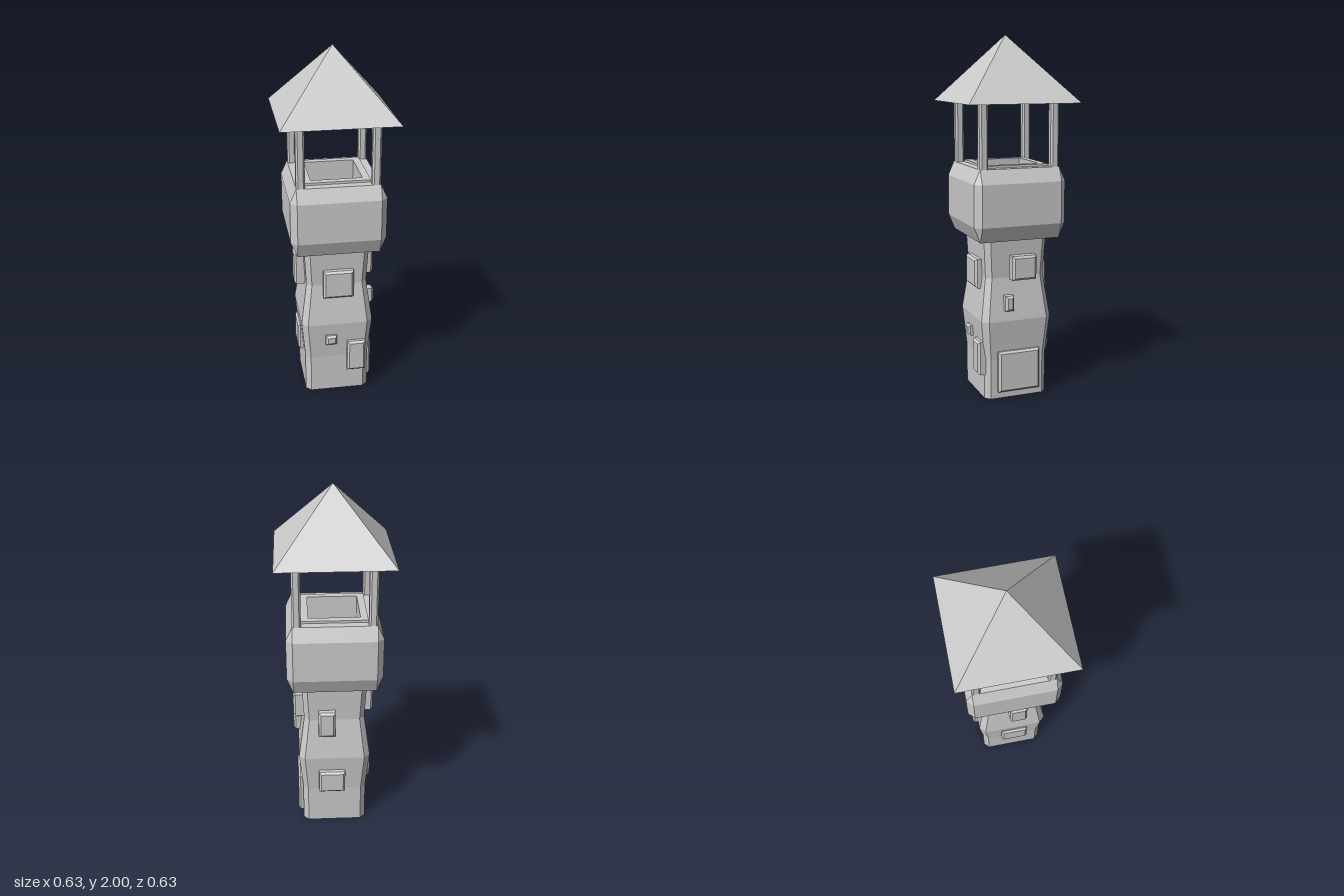
import * as THREE from 'three';

const material = new THREE.MeshStandardMaterial({ color: 0xcccccc, flatShading: true });

// Square ring with cut corners: faces at distance h, each face spanning -e..e
const octagon = (h, e, y) =>
  [[h, -e], [h, e], [e, h], [-e, h], [-h, e], [-h, -e], [-e, -h], [e, -h]]
    .map(([x, z]) => new THREE.Vector3(x, y, z));

const rectangle = (w, d, y) =>
  [[w, -d], [w, d], [-w, d], [-w, -d]].map(([x, z]) => new THREE.Vector3(x, y, z));

// Skins a stack of rings and caps both ends
function loft(rings) {
  const points = [];
  const tri = (a, b, c) => {
    const area = b.clone().sub(a).cross(c.clone().sub(a)).length();
    if (area > 1e-9) points.push(a, b, c);
  };
  const n = rings[0].length;
  for (let r = 0; r < rings.length - 1; r++) {
    for (let i = 0; i < n; i++) {
      const j = (i + 1) % n, lo = rings[r], hi = rings[r + 1];
      tri(lo[i], hi[i], lo[j]);
      tri(lo[j], hi[i], hi[j]);
    }
  }
  const first = rings[0], last = rings[rings.length - 1];
  for (let i = 1; i < n - 1; i++) {
    tri(first[0], first[i], first[i + 1]);
    tri(last[0], last[i + 1], last[i]);
  }
  const geometry = new THREE.BufferGeometry().setFromPoints(points);
  geometry.computeVertexNormals();
  return geometry;
}

function addMesh(parent, geometry, name) {
  const mesh = new THREE.Mesh(geometry, material);
  mesh.name = name;
  parent.add(mesh);
  return mesh;
}

// Bevelled stone standing out along +z up to the given distance
function stone([u0, u1, y0, y1, reach]) {
  const w = (u1 - u0) / 2, h = (y1 - y0) / 2, bevel = 0.012;
  const geometry = loft([
    rectangle(w, h, 0.13),
    rectangle(w, h, reach - bevel),
    rectangle(w - bevel, h - bevel, reach),
  ]);
  geometry.rotateX(Math.PI / 2);
  geometry.translate((u0 + u1) / 2, (y0 + y1) / 2, 0);
  return geometry;
}

export function createModel() {
  const model = new THREE.Group();
  model.name = 'watchtower';

  // Wavy shaft with chamfered corners
  addMesh(model, loft([
    [0.182, 0.153, 0], [0.182, 0.153, 0.225], [0.203, 0.17, 0.45],
    [0.17, 0.142, 0.69], [0.182, 0.153, 0.91],
  ].map((r) => octagon(...r))), 'shaft');

  // Lookout box: bulging walls, raised inner rim and open pit
  addMesh(model, loft([
    [0.227, 0.227, 0.905], [0.262, 0.227, 0.99], [0.262, 0.227, 1.22], [0.227, 0.227, 1.297],
    [0.18, 0.18, 1.297], [0.18, 0.18, 1.31], [0.14, 0.14, 1.31], [0.14, 0.14, 1.05],
  ].map((r) => octagon(...r))), 'lookout');

  // Four corner posts
  const postGeometry = loft([octagon(0.024, 0.014, 1.29), octagon(0.024, 0.014, 1.645)]);
  for (const x of [-0.203, 0.203]) {
    for (const z of [-0.203, 0.203]) addMesh(model, postGeometry, 'post').position.set(x, 0, z);
  }

  // Pyramid roof with a flat underside
  addMesh(model, loft([rectangle(0.315, 0.315, 1.64), rectangle(0, 0, 2)]), 'roof');

  // Protruding stones per side: [left, right, bottom, top, reach] seen facing that side
  const sides = [
    ['front', 0, [[-0.08, 0.09, 0.62, 0.785, 0.21], [-0.07, -0.005, 0.32, 0.378, 0.22], [0.055, 0.16, 0.14, 0.33, 0.22]]],
    ['left', Math.PI / 2, [[-0.04, 0.1, 0.68, 0.815, 0.23], [-0.08, -0.03, 0.51, 0.595, 0.23], [-0.115, 0.13, 0.04, 0.275, 0.21]]],
    ['back', Math.PI, [[-0.09, 0.005, 0.6, 0.755, 0.215], [-0.09, 0.06, 0.23, 0.365, 0.23]]],
    ['right', -Math.PI / 2, [[-0.02, 0.08, 0.66, 0.85, 0.23], [-0.07, 0.09, 0.235, 0.395, 0.215]]],
  ];
  for (const [side, angle, stones] of sides) {
    const group = new THREE.Group();
    group.name = side + 'Stones';
    group.rotation.y = angle;
    for (const s of stones) addMesh(group, stone(s), 'stone');
    model.add(group);
  }
  return model;
}
